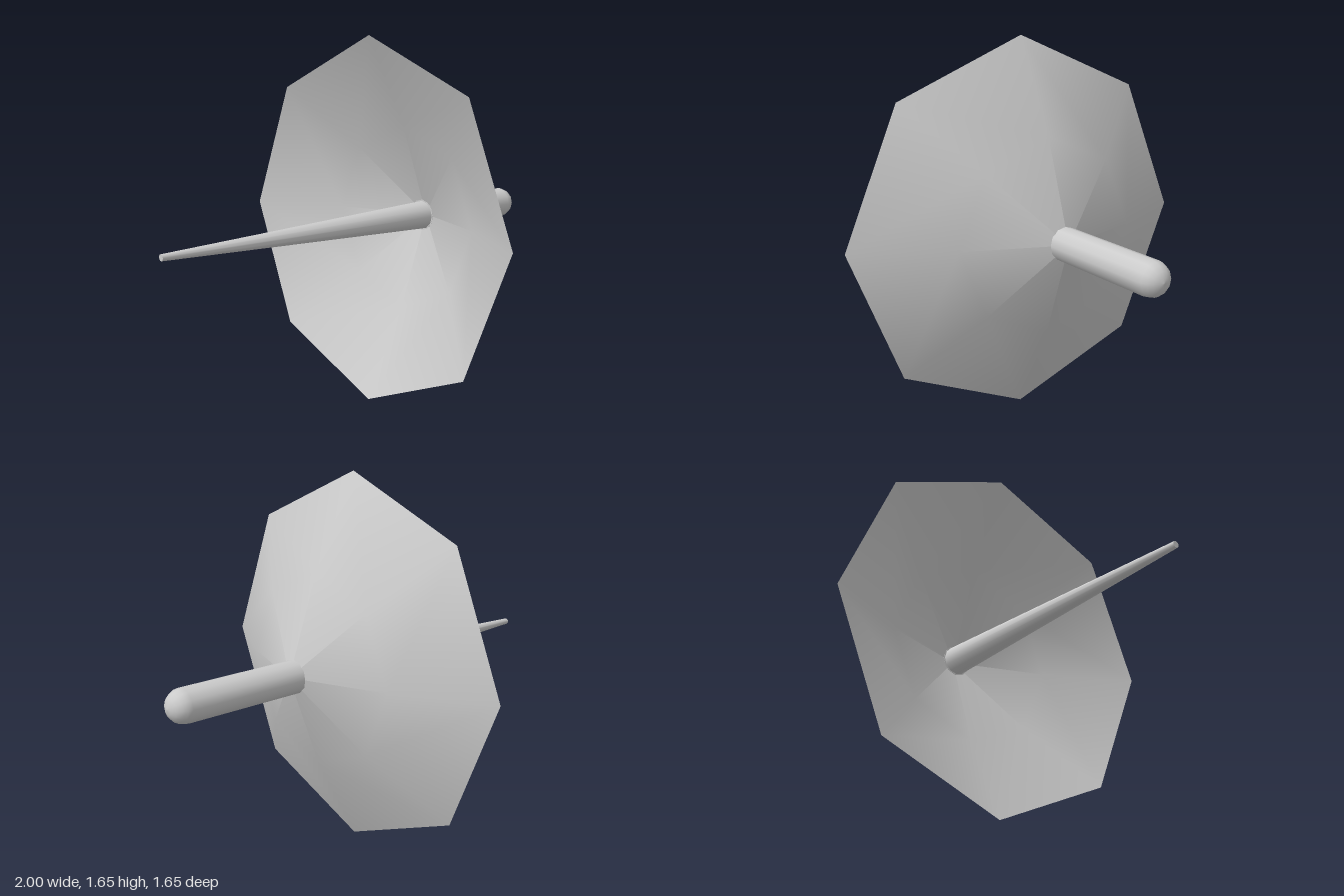
import * as THREE from 'three';

const AXIS_HEIGHT = 0.83;

// Lathe a profile of [radius, x] points around the long (x) axis
function latheAlongX(name, profile, sides, material) {
  const points = profile.map(([r, x]) => new THREE.Vector2(r, x));
  const geometry = new THREE.LatheGeometry(points, sides);
  geometry.rotateZ(-Math.PI / 2);
  const mesh = new THREE.Mesh(geometry, material);
  mesh.name = name;
  mesh.position.y = AXIS_HEIGHT;
  return mesh;
}

export function createModel() {
  const group = new THREE.Group();
  group.name = 'parasol';
  const solid = new THREE.MeshStandardMaterial({ color: 0xcccccc });
  const thin = new THREE.MeshStandardMaterial({ color: 0xcccccc, side: THREE.DoubleSide });

  // Open eight-sided canopy
  group.add(latheAlongX('canopy', [[0.825, 0.05], [0.425, 0.26], [0, 0.413]], 8, thin));

  // Tapered shaft, closed at the thin end by a flat tip
  const shaftLength = 1.39;
  const shaft = new THREE.Mesh(new THREE.CylinderGeometry(0.066, 0.014, shaftLength, 12), solid);
  shaft.name = 'shaft';
  shaft.rotation.z = -Math.PI / 2;
  shaft.position.set(-1 + shaftLength / 2, AXIS_HEIGHT, 0);
  group.add(shaft);

  // Straight handle with a rounded end
  const radius = 0.072;
  const profile = [[0, 0.385], [radius, 0.385], [radius, 0.385]];
  for (let i = 0; i <= 5; i++) {
    const a = (i / 5) * Math.PI / 2;
    profile.push([i === 5 ? 0 : radius * Math.cos(a), 0.928 + radius * Math.sin(a)]);
  }
  // Separate base disc keeps the rim of the handle sharp
  group.add(latheAlongX('handleBase', profile.slice(0, 2), 12, thin));
  group.add(latheAlongX('handle', profile.slice(2), 12, solid));

  return group;
}
